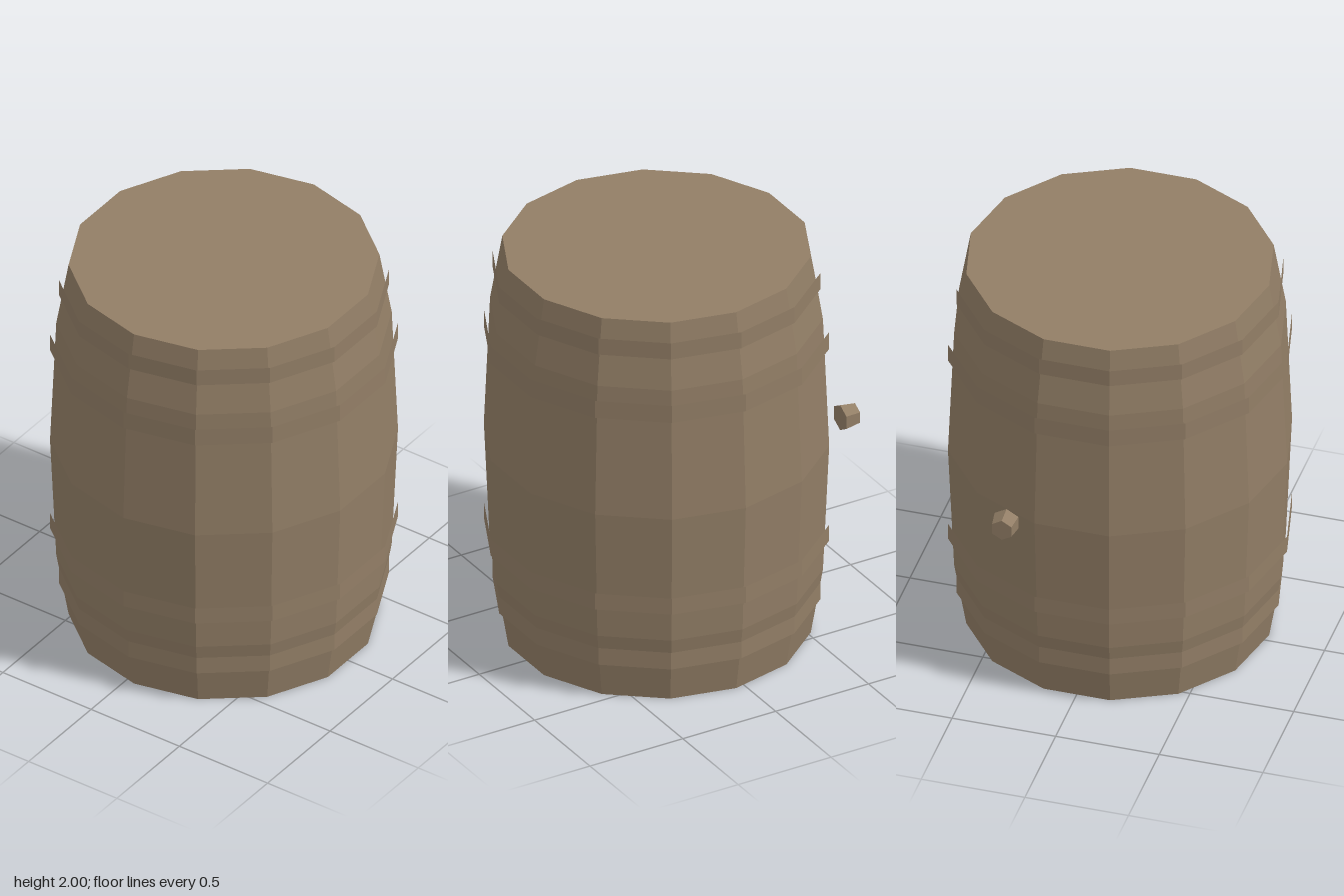
import * as THREE from 'three';

const SIDES = 14;
const HALF_STEP = Math.PI / SIDES; // puts a corner on each x side and a flat at the front

export function createModel() {
  const group = new THREE.Group();
  group.name = 'barrel';
  const wood = new THREE.MeshStandardMaterial({ color: 0x927e66, flatShading: true });
  wood.name = 'brown wood';

  const add = (name, geometry, x, y, z) => {
    const mesh = new THREE.Mesh(geometry, wood);
    mesh.name = name;
    mesh.position.set(x, y, z);
    group.add(mesh);
    return mesh;
  };

  // bulging body with closed ends, radius and height from the bottom up
  const profile = [[0, 0], [0.72, 0], [0.777, 0.34], [0.806, 1], [0.777, 1.67], [0.72, 2], [0, 2]]
    .map(([r, y]) => new THREE.Vector2(r, y));
  add('body', new THREE.LatheGeometry(profile, SIDES, HALF_STEP), 0, 0, 0.045);

  // straight open hoops: radius, bottom, top
  const hoops = [
    [0.765, 0.18, 0.27],
    [0.806, 0.495, 0.58],
    [0.806, 1.515, 1.605],
    [0.765, 1.83, 1.915],
  ];
  hoops.forEach(([r, bottom, top], i) => {
    const band = new THREE.CylinderGeometry(r, r, top - bottom, SIDES, 1, true, HALF_STEP);
    add('hoop' + (i + 1), band, 0, (bottom + top) / 2, 0.045);
  });

  // tapered six-sided plug at the back, narrow end outwards
  const plug = new THREE.CylinderGeometry(0.054, 0.066, 0.08, 6);
  plug.rotateX(-Math.PI / 2);
  add('plug', plug, 0.308, 1.003, -0.8);

  return group;
}
